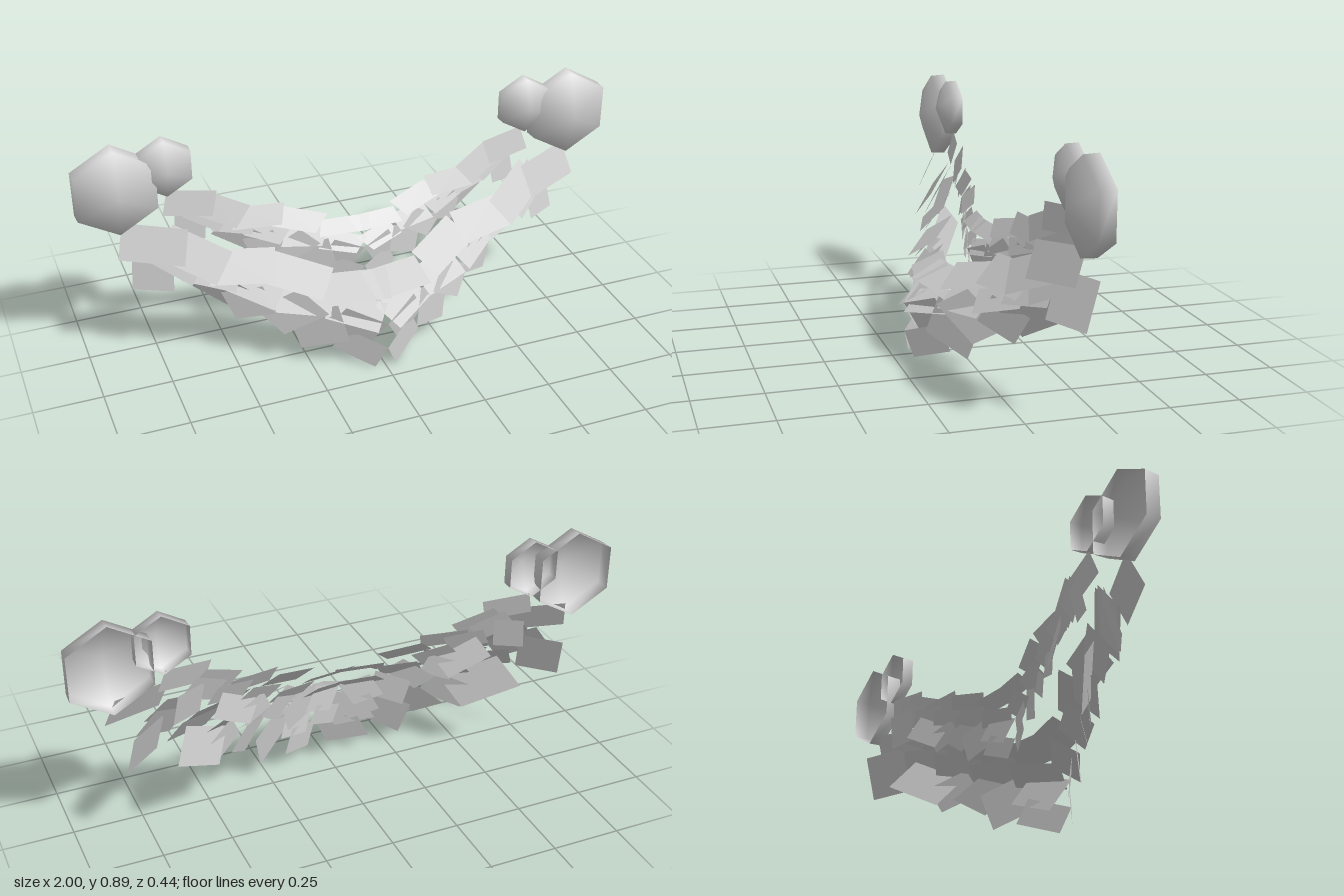
import * as THREE from 'three';
import { mergeVertices } from 'three/addons/utils/BufferGeometryUtils.js';

const V = (a) => new THREE.Vector3(...a);

export function createModel() {
  const model = new THREE.Group();
  const grey = new THREE.MeshStandardMaterial({ color: 0xcccccc, side: THREE.DoubleSide });
  grey.name = 'light grey';

  // A flat leaf from three corners; the fourth completes the parallelogram
  function leaf(parent, name, a, b, c, side) {
    const d = a.clone().add(c).sub(b);
    const g = new THREE.BufferGeometry();
    const p = [a, b, c, d].flatMap((v) => [v.x * side, v.y, v.z]);
    g.setAttribute('position', new THREE.Float32BufferAttribute(p, 3));
    g.setIndex(side > 0 ? [0, 1, 2, 0, 2, 3] : [0, 2, 1, 0, 3, 2]);
    g.computeVertexNormals();
    const mesh = new THREE.Mesh(g, grey);
    mesh.name = name;
    parent.add(mesh);
  }

  // Hanging leaves along the lower front: three corners each
  const hanging = [
    [[0, 0.095, 0.205], [0.04, 0.005, 0.18], [0.17, 0.06, 0.08]],
    [[0, 0.2, 0.205], [0.06, 0.09, 0.15], [0.19, 0.14, 0.07]],
    [[0.13, 0.13, 0.16], [0.28, 0.065, 0.05], [0.31, 0.2, 0.01]],
    [[0.2, 0.25, 0.14], [0.34, 0.14, 0.05], [0.42, 0.21, -0.04]],
    [[0.36, 0.23, 0.04], [0.49, 0.18, -0.05], [0.53, 0.28, -0.09]],
    [[0.42, 0.3, 0], [0.48, 0.2, -0.08], [0.66, 0.31, -0.19]],
    [[0.68, 0.49, -0.13], [0.7, 0.33, -0.08], [0.83, 0.315, -0.17]],
  ];

  // Overlapping rows lying on a swag curve, tilted up, forward and outward like shingles
  const rows = [
    { name: 'topLeaf', width: 0.13, length: 0.23, n0: [0.1, 0.9, 0.42], n1: [0.31, 0.42, 0.85], spin: 0.2,
      path: [[0.075, 0.31, 0.09], [0.28, 0.368, 0.03], [0.46, 0.41, -0.03], [0.62, 0.47, -0.07], [0.757, 0.53, -0.09]] },
    { name: 'middleLeaf', width: 0.12, length: 0.2, n0: [0.2, 0.85, 0.5], n1: [0.35, 0.45, 0.8], spin: -0.12,
      path: [[0.09, 0.225, 0.12], [0.26, 0.275, 0.05], [0.42, 0.33, -0.02], [0.56, 0.39, -0.075], [0.68, 0.45, -0.11]] },
  ];

  function garland(name) {
    const group = new THREE.Group();
    group.name = name;
    for (const side of [1, -1]) {
      for (const corners of hanging) leaf(group, 'hangingLeaf', ...corners.map(V), side);
      for (const row of rows) {
        const curve = new THREE.CatmullRomCurve3(row.path.map(V));
        row.path.forEach((p, i) => {
          const t = i / (row.path.length - 1);
          const n = V(row.n0).lerp(V(row.n1), t).normalize();
          const along = curve.getTangent(t);
          const across = n.clone().cross(along).normalize();
          along.crossVectors(across, n);
          // Alternate leaves turn slightly in their own plane
          const spin = i % 2 ? row.spin : -row.spin;
          along.applyAxisAngle(n, spin).multiplyScalar(row.length / 2);
          across.applyAxisAngle(n, spin).multiplyScalar(row.width / 2);
          const c = V(p);
          leaf(group, row.name,
            c.clone().sub(along).sub(across),
            c.clone().add(along).sub(across),
            c.clone().add(along).add(across), side);
        });
      }
    }
    model.add(group);
    return group;
  }

  // Large front swag, and a shallower smaller one behind it
  garland('frontGarland');
  const rear = garland('rearGarland');
  rear.scale.set(0.8, 0.75, 0.4);
  rear.position.set(0, 0.235, -0.114);

  // Six-sided domed end knobs, smooth across the dome and open at the back
  function knob(name, x, y, r, depth) {
    const profile = [[r, 0], [r * 0.985, depth * 0.52], [0, depth]].map((p) => new THREE.Vector2(...p));
    let g = new THREE.LatheGeometry(profile, 6).rotateX(Math.PI / 2);
    g.deleteAttribute('normal');
    g.deleteAttribute('uv');
    g = mergeVertices(g, 1e-4);
    g.computeVertexNormals();
    for (const side of [1, -1]) {
      const mesh = new THREE.Mesh(g, grey);
      mesh.name = name;
      mesh.position.set(x * side, y, -0.188);
      model.add(mesh);
    }
  }
  knob('largeKnob', 0.858, 0.728, 0.163, 0.107);
  knob('smallKnob', 0.682, 0.783, 0.107, 0.085);

  return model;
}
